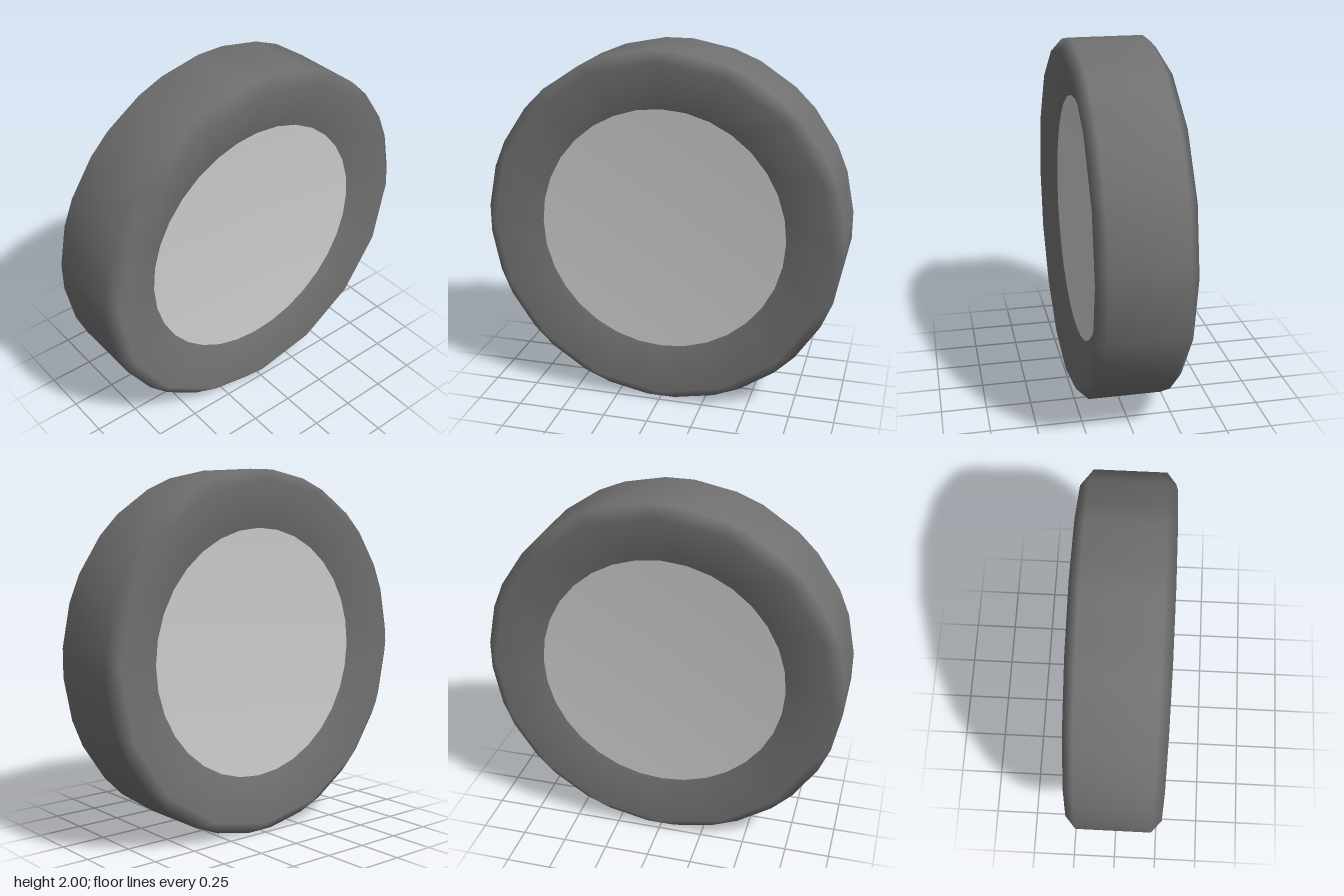
import * as THREE from 'three';
import { mergeVertices } from 'three/addons/utils/BufferGeometryUtils.js';

const SEGMENTS = 16;

// Skin rings around the x axis. Each ring is [x, radius, lo, hi]:
// every segment carries two points, at the offsets lo and hi in degrees.
function loft(rings) {
  const n = SEGMENTS * 2;
  const positions = [];
  const index = [];
  for (const [x, r, lo, hi] of rings) {
    for (let j = 0; j < n; j++) {
      const deg = Math.floor(j / 2) * (360 / SEGMENTS) + (j % 2 ? hi : lo);
      const a = THREE.MathUtils.degToRad(deg);
      positions.push(x, r * Math.cos(a), r * Math.sin(a));
    }
  }
  for (let i = 0; i < rings.length - 1; i++) {
    for (let j = 0; j < n; j++) {
      const k = (j + 1) % n;
      const a = i * n + j, b = i * n + k;
      const c = a + n, d = b + n;
      index.push(a, c, b, b, c, d);
    }
  }
  const geometry = new THREE.BufferGeometry();
  geometry.setAttribute('position', new THREE.Float32BufferAttribute(positions, 3));
  geometry.setIndex(index);
  const merged = mergeVertices(geometry, 1e-4);
  merged.computeVertexNormals();
  return merged;
}

// The same rings on the other side of the wheel
const mirrored = (rings) => rings.map(([x, ...rest]) => [-x, ...rest]).reverse();

export function createModel() {
  const group = new THREE.Group();
  group.name = 'wheel';
  const rubber = new THREE.MeshStandardMaterial({ color: 0x707070 });
  const metal = new THREE.MeshStandardMaterial({ color: 0xcccccc });

  const add = (name, rings, material) => {
    const mesh = new THREE.Mesh(loft(rings), material);
    mesh.name = name;
    mesh.position.y = 1;
    group.add(mesh);
  };

  // Tire: inward-sloping side walls, chamfered shoulders, flat tread
  const tireSide = [
    [0.186, 0.688, 0, 11.25],
    [0.257, 0.948, 0, 0],
    [0.203, 1.003, -4.5, 4.5],
  ];
  add('tire', [...tireSide, ...mirrored(tireSide)], rubber);

  // Hub discs, slightly dished
  const hub = [
    [0.155, 0, 0, 11.25],
    [0.186, 0.688, 0, 11.25],
  ];
  add('leftHub', hub, metal);
  add('rightHub', mirrored(hub), metal);

  return group;
}
